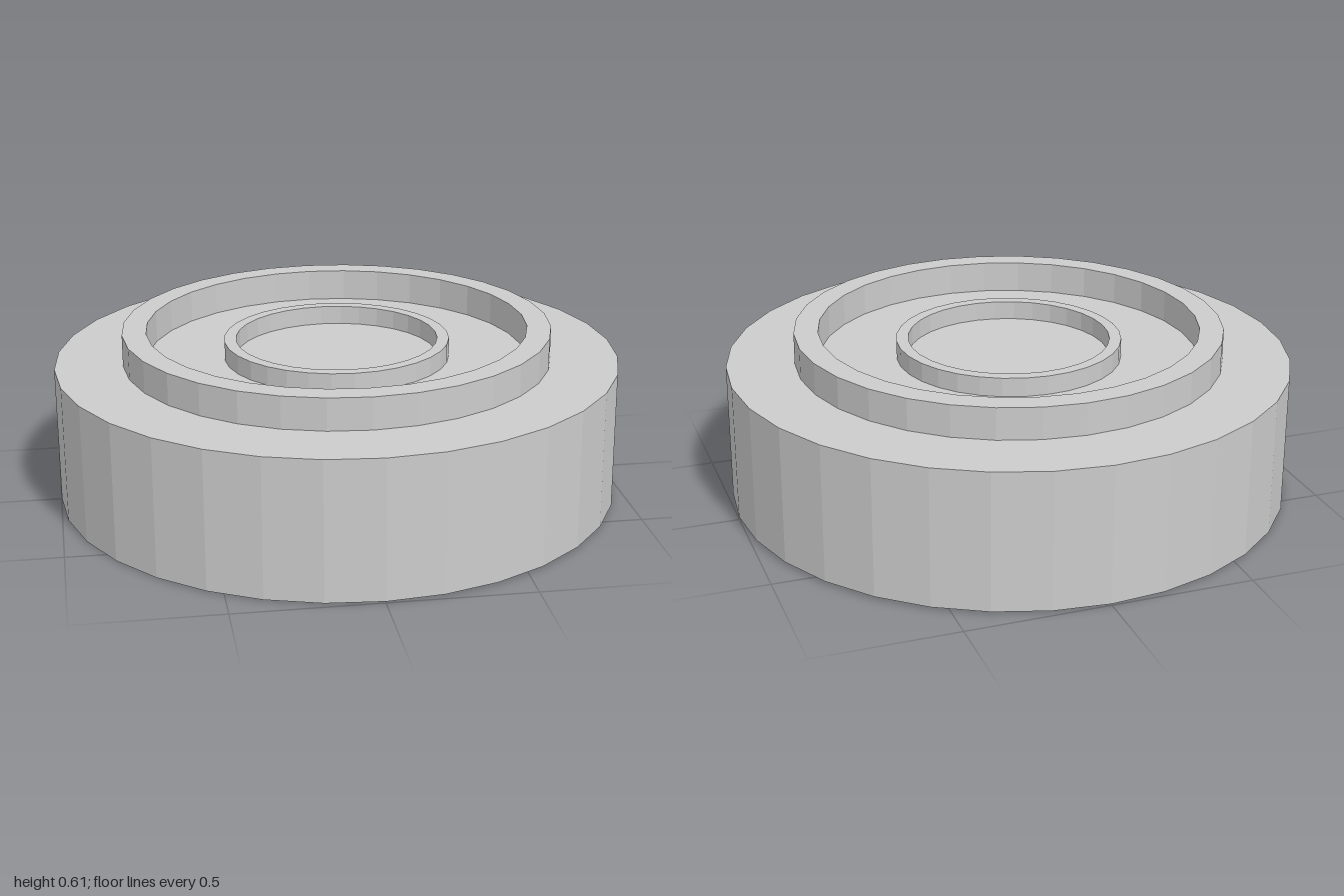
import * as THREE from 'three';

const SIDES = 32;
const BASE_HEIGHT = 0.49;

export function createModel() {
  const material = new THREE.MeshStandardMaterial({ color: 0xcccccc, flatShading: true });
  const model = new THREE.Group();
  model.name = 'ringedDisc';

  // Solid round base
  const base = new THREE.Mesh(new THREE.CylinderGeometry(1, 1, BASE_HEIGHT, SIDES), material);
  base.name = 'base';
  base.position.y = BASE_HEIGHT / 2;
  model.add(base);

  // Raised rim standing on the base: outer wall, flat top, inner wall
  const addRing = (name, outer, inner, height) => {
    const profile = [[outer, 0], [outer, height], [inner, height], [inner, 0]]
      .map(([r, y]) => new THREE.Vector2(r, y));
    const ring = new THREE.Mesh(new THREE.LatheGeometry(profile, SIDES), material);
    ring.name = name;
    ring.position.y = BASE_HEIGHT;
    model.add(ring);
  };
  addRing('outerRing', 0.76, 0.675, 0.113);
  addRing('innerRing', 0.4, 0.358, 0.067);

  // The whole disc leans very slightly towards -x
  model.rotation.z = 0.005;
  model.position.set(0.001, 0.005, 0);
  return model;
}
